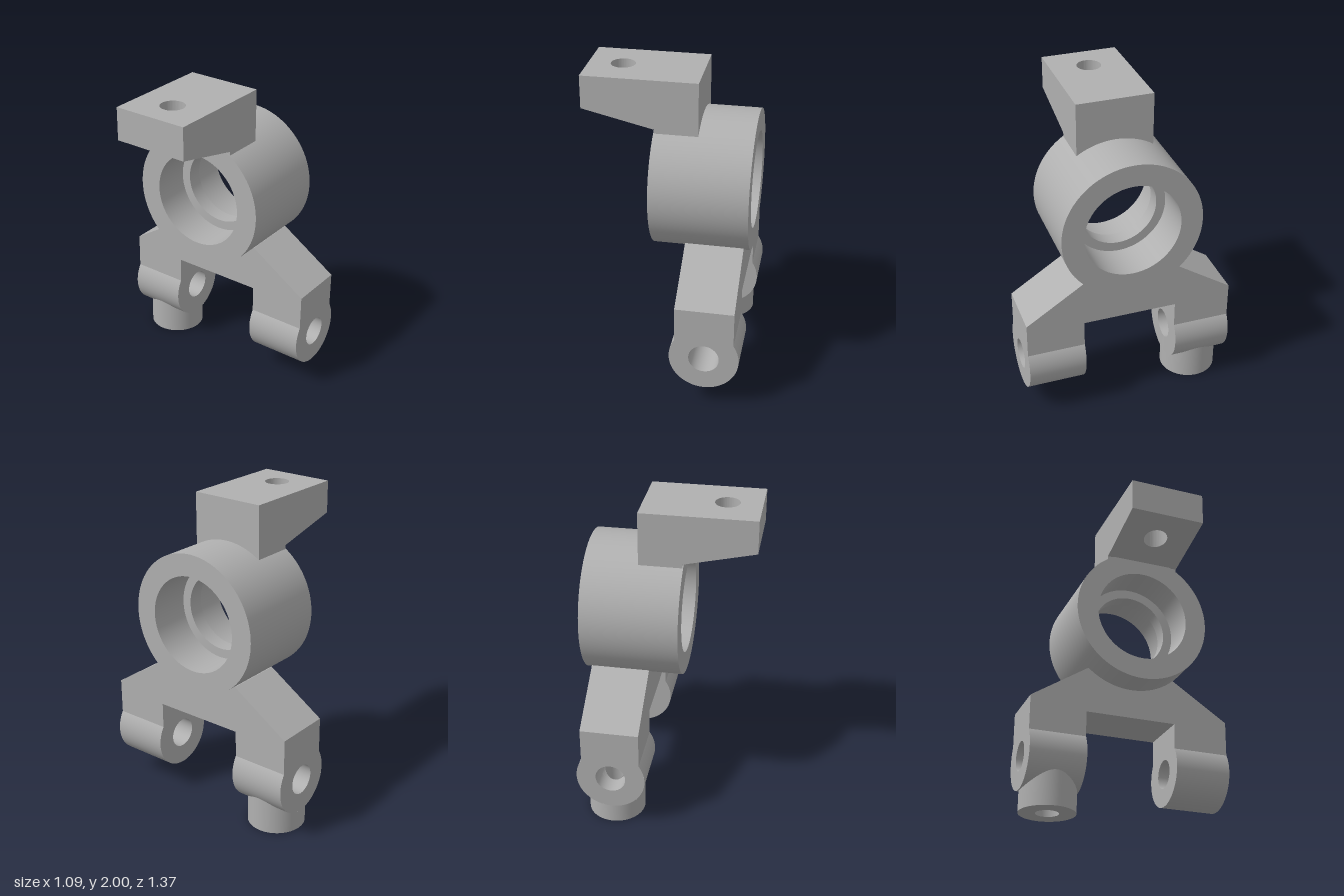
import * as THREE from 'three';
import { toCreasedNormals } from 'three/addons/utils/BufferGeometryUtils.js';

const Z0 = 0.008; // symmetry plane of the bracket
const V = (x, y) => new THREE.Vector2(x, y);

export function createModel() {
  const metal = new THREE.MeshStandardMaterial({ color: 0xb0b0b0, side: THREE.DoubleSide });
  metal.name = 'grey metal';

  const model = new THREE.Group();
  model.name = 'hubCarrier';
  model.rotation.y = 0.041;
  const body = new THREE.Group();
  body.name = 'body';
  body.position.z = Z0;
  model.add(body);

  const add = (name, geometry, parent = body) => {
    const mesh = new THREE.Mesh(geometry, metal);
    mesh.name = name;
    parent.add(mesh);
    return mesh;
  };

  // Bearing housing: counterbored from both ends, with a lip in the middle
  const profile = [
    V(0.449, -0.095), V(0.449, 0.518), V(0.308, 0.518), V(0.308, 0.25), V(0.248, 0.25),
    V(0.248, 0.15), V(0.308, 0.15), V(0.308, -0.095), V(0.449, -0.095),
  ];
  const housing = new THREE.LatheGeometry(profile, 96).rotateZ(-Math.PI / 2);
  add('bearingHousing', toCreasedNormals(housing, 0.5)).position.y = 1.284;

  // Steering arm: holed plate whose underside slopes
  const plan = new THREE.Shape([V(-0.54, -0.245), V(-0.09, -0.245), V(-0.09, 0.245), V(-0.54, 0.245)]);
  plan.holes.push(new THREE.Path().absarc(-0.326, 0, 0.077, 0, Math.PI * 2, true));
  const arm = new THREE.ExtrudeGeometry(plan, { depth: 0.3, bevelEnabled: false, curveSegments: 40 });
  arm.rotateX(Math.PI / 2).translate(0, 2, 0);
  const p = arm.attributes.position;
  for (let i = 0; i < p.count; i++) {
    if (p.getY(i) < 1.9) p.setY(i, 1.79 - (p.getX(i) + 0.54) * 0.233);
  }
  add('steeringArm', toCreasedNormals(arm, 0.5));
  const block = new THREE.BoxGeometry(0.27, 0.342, 0.49);
  add('armBlock', block).position.set(0.045, 1.829, 0);

  // Forked bracket below the housing
  const half = [[0.3, 0.945], [0.676, 0.7], [0.676, 0.455], [0.304, 0.455], [0.304, 0.64]];
  const outline = [
    ...half.map(([z, y]) => V(z, y)),
    ...half.slice().reverse().map(([z, y]) => V(-z, y)),
  ];
  const fork = new THREE.ExtrudeGeometry(new THREE.Shape(outline), { depth: 0.37, bevelEnabled: false });
  add('fork', fork.rotateY(Math.PI / 2).translate(0.112, 0, 0));

  // Pivot knuckles at the fork ends; the angle 0 of each wall is at the bottom
  const R = 0.22, BORE = 0.096, LEN = 0.372, HOLE = 0.075, GAP = 0.077;
  const wall = (r, length, start, sweep, segments = 64) =>
    new THREE.CylinderGeometry(r, r, length, segments, 1, true, start, sweep).rotateX(Math.PI / 2);

  const knuckle = (name, z, drilled) => {
    const group = new THREE.Group();
    group.name = name;
    group.position.set(0.297, 0.352, z);
    body.add(group);
    for (const side of [1, -1]) {
      const face = new THREE.RingGeometry(BORE, R, 64);
      if (side < 0) face.rotateY(Math.PI);
      add('knuckleFace', face, group).position.z = side * LEN / 2;
    }
    for (const r of [R, BORE]) {
      const gap = drilled ? Math.asin(GAP / r) : 0;
      add(r === R ? 'knuckleWall' : 'pivotBore', wall(r, LEN, gap, Math.PI * 2 - 2 * gap), group);
      if (!drilled) continue;
      // Strips either side of the drilled opening
      const strip = LEN / 2 - GAP;
      for (const side of [1, -1]) {
        add('wallStrip', wall(r, strip, -gap, 2 * gap, 24), group).position.z = side * (GAP + strip / 2);
      }
    }
    return group;
  };
  knuckle('frontKnuckle', 0.49, false);
  const back = knuckle('backKnuckle', -0.49, true);

  // Bore surface around the round opening: circle blended out to a square
  const rim = new THREE.PlaneGeometry(1, 1, 64, 3);
  const q = rim.attributes.position;
  for (let i = 0; i < q.count; i++) {
    const a = (q.getX(i) + 0.5) * Math.PI * 2;
    const c = Math.cos(a), s = Math.sin(a);
    const square = GAP / Math.max(Math.abs(c), Math.abs(s));
    const d = THREE.MathUtils.lerp(HOLE, square, q.getY(i) + 0.5);
    q.setXYZ(i, d * c, -Math.sqrt(BORE * BORE - d * d * c * c), d * s);
  }
  rim.computeVertexNormals();
  add('boreRim', rim, back);

  // Hollow post under the back knuckle
  const post = new THREE.Group();
  post.name = 'post';
  post.position.set(0.297, 0, -0.486);
  body.add(post);
  add('postWall', new THREE.CylinderGeometry(0.183, 0.183, 0.245, 64, 1, true), post).position.y = 0.1225;
  add('postEnd', new THREE.RingGeometry(HOLE, 0.183, 64).rotateX(Math.PI / 2), post);
  const hole = new THREE.CylinderGeometry(HOLE, HOLE, 1, 64, 1, true).translate(0, 0.5, 0);
  const h = hole.attributes.position;
  for (let i = 0; i < h.count; i++) {
    if (h.getY(i) > 0.5) h.setY(i, 0.352 - Math.sqrt(BORE * BORE - h.getX(i) ** 2));
  }
  add('postHole', hole, post);

  return model;
}
